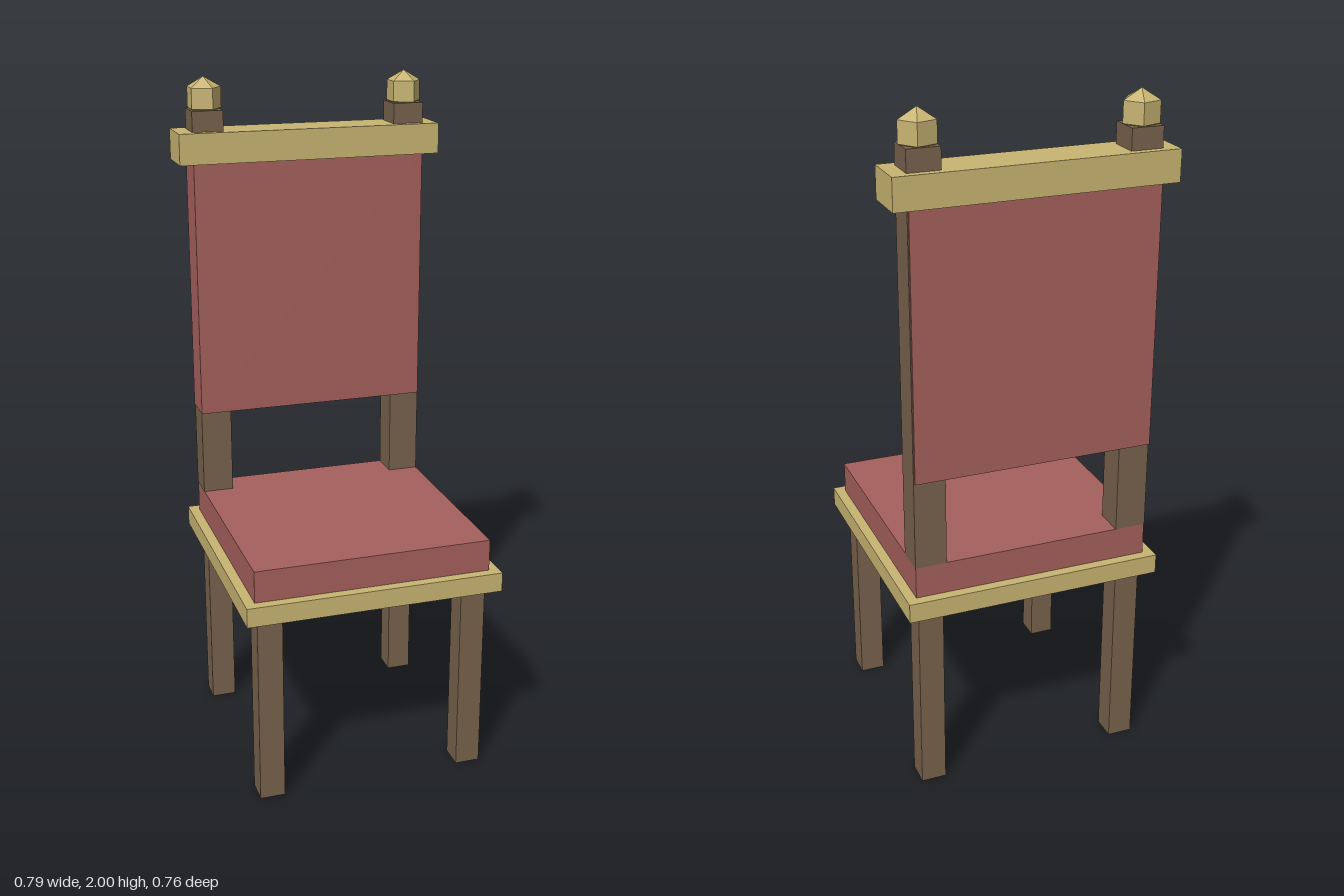
import * as THREE from 'three';

const material = (name, color) => {
  const m = new THREE.MeshStandardMaterial({ color });
  m.name = name;
  return m;
};

export function createModel() {
  const chair = new THREE.Group();
  chair.name = 'chair';
  const wood = material('brown wood', 0x78624c);
  const gold = material('gold trim', 0xc8b472);
  const fabric = material('red upholstery', 0xa5605c);

  const add = (name, geometry, mat, x, y, z) => {
    const mesh = new THREE.Mesh(geometry, mat);
    mesh.name = name;
    mesh.position.set(x, y, z);
    chair.add(mesh);
  };
  // Box given by its bottom and top heights
  const box = (name, mat, w, d, y0, y1, x = 0, z = 0) =>
    add(name, new THREE.BoxGeometry(w, y1 - y0, d), mat, x, (y0 + y1) / 2, z);

  const inset = 0.307; // legs and posts share this distance from the centre

  // Seat
  box('seatFrame', gold, 0.764, 0.764, 0.582, 0.64);
  box('seatCushion', fabric, 0.704, 0.704, 0.64, 0.735);

  // Backrest
  box('backPanel', fabric, 0.704, 0.106, 0.995, 1.76, -0.002, -0.305);
  box('topRail', gold, 0.794, 0.136, 1.757, 1.847, 0, -inset);

  // Five-sided faceted knob
  const knob = new THREE.SphereGeometry(0.06, 5, 3, Math.PI).toNonIndexed();
  knob.computeVertexNormals();

  for (const [side, sx] of [['left', 1], ['right', -1]]) {
    const x = sx * inset;
    box(`${side}FrontLeg`, wood, 0.074, 0.074, 0, 0.584, x, inset);
    box(`${side}BackLeg`, wood, 0.074, 0.074, 0, 0.584, x, -inset);
    box(`${side}BackPost`, wood, 0.092, 0.092, 0.735, 1.907, x, -inset);
    add(`${side}Finial`, knob, gold, x, 1.94, -inset);
  }
  return chair;
}
